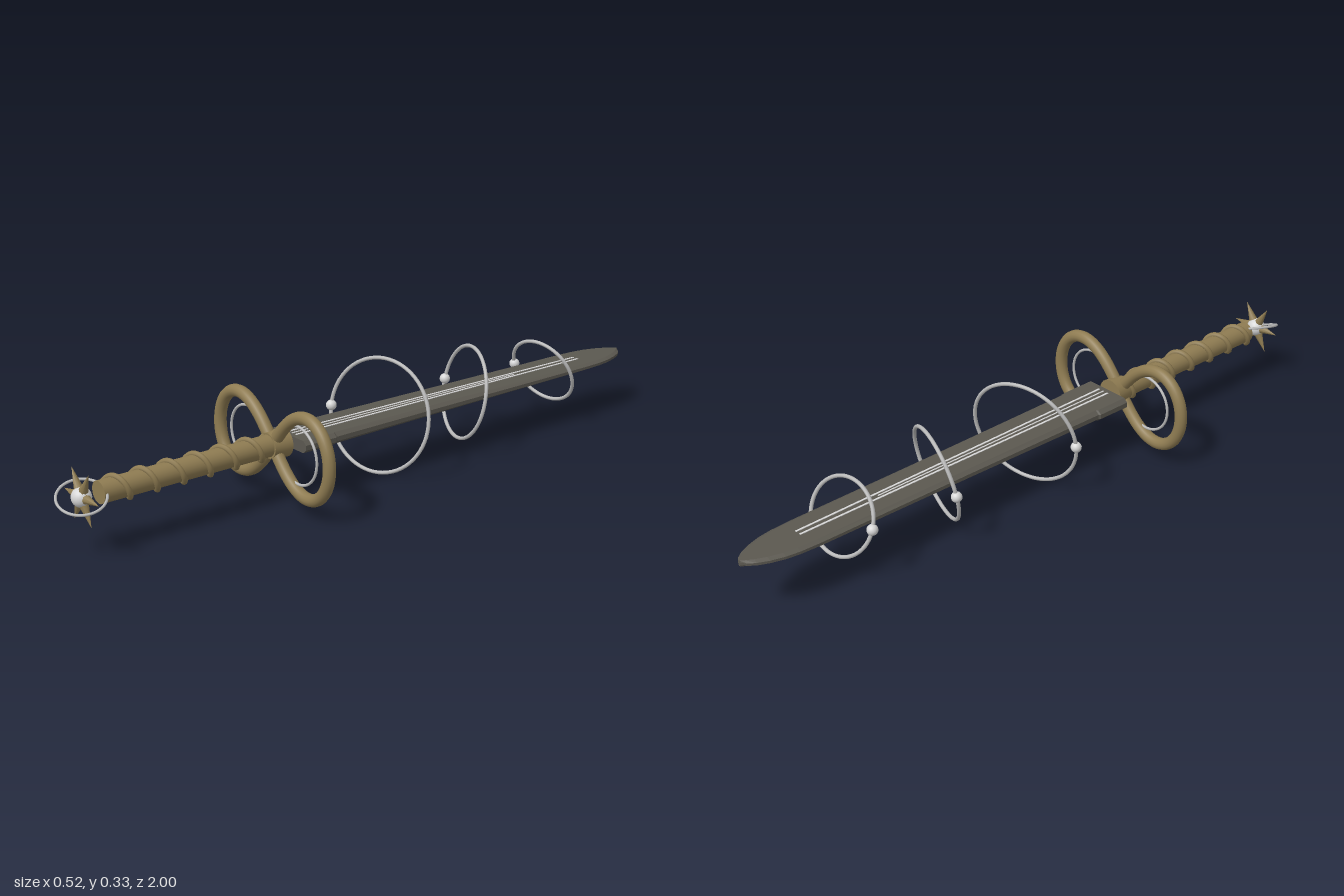
import * as THREE from 'three';

const AXIS = 0.167; // height of the sword's long axis

const mat = (name, color) => {
  const m = new THREE.MeshStandardMaterial({ color });
  m.name = name;
  return m;
};

// Flat-faced solid through bevelled cross-sections [z, centreX, halfWidth, halfThickness], front to back
function loft(stations, bevel) {
  const rings = stations.map(([z, x, w, t]) => {
    const b = Math.min(bevel, w * 0.5), e = t * 0.4;
    return [[w, -e], [w, e], [w - b, t], [b - w, t], [-w, e], [-w, -e], [b - w, -t], [w - b, -t]]
      .map(([px, py]) => [x + px, py, z]);
  });
  const pos = [];
  const tri = (a, b, c) => pos.push(...a, ...b, ...c);
  const n = 8, first = rings[0], last = rings[rings.length - 1];
  for (let i = 0; i < rings.length - 1; i++) {
    const p = rings[i], q = rings[i + 1];
    for (let j = 0; j < n; j++) {
      const k = (j + 1) % n;
      tri(p[j], q[j], p[k]);
      tri(p[k], q[j], q[k]);
    }
  }
  for (let j = 1; j < n - 1; j++) {
    tri(first[0], first[j], first[j + 1]);
    tri(last[0], last[j + 1], last[j]);
  }
  const g = new THREE.BufferGeometry();
  g.setAttribute('position', new THREE.Float32BufferAttribute(pos, 3));
  g.computeVertexNormals();
  return g;
}

// Figure-eight centreline of the guard
class FigureEight extends THREE.Curve {
  getPoint(u, target = new THREE.Vector3()) {
    const a = u * Math.PI * 2, s = Math.sin(a), c = Math.cos(a), d = 1 + s * s;
    return target.set(0.245 * c / d, 0.319 * s * c / d, 0);
  }
}

// Spiral binding around the grip
class Spiral extends THREE.Curve {
  getPoint(u, target = new THREE.Vector3()) {
    const z = 0.345 + 0.525 * u, a = (z - 0.399) / 0.083 * Math.PI * 2;
    return target.set(0.033 * Math.cos(a), 0.033 * Math.sin(a), z);
  }
}

export function createModel() {
  const steel = mat('darkSteel', 0x5b5850);
  const brass = mat('agedBrass', 0x8f7c52);
  const silver = mat('brightSilver', 0xd6d6d6);
  const wire = mat('ringSilver', 0xb8b8b8);

  const model = new THREE.Group();
  model.name = 'sword';
  const body = new THREE.Group();
  body.name = 'swordParts';
  body.position.y = AXIS;
  model.add(body);

  const add = (name, geometry, material, parent = body) => {
    const m = new THREE.Mesh(geometry, material);
    m.name = name;
    parent.add(m);
    return m;
  };

  // Blade with a rounded tip and a slightly wider base
  const thick = z => 0.0155 + 0.0045 * z / 0.4 * 0.6;
  const outline = [[0.285, 0.081], [0.18, 0.081], [0.175, 0.077], [-0.3, 0.072], [-0.8, 0.069], [-0.86, 0.066],
    [-0.9, 0.06], [-0.94, 0.048], [-0.97, 0.034], [-0.99, 0.019], [-1, 0.005]];
  add('blade', loft(outline.map(([z, w]) => [z, 0, w, thick(z)]), 0.012), steel);

  // Inlaid silver lines, showing on both faces
  const inlay = (name, x0, x1, end, w) => add(name, loft(
    [[0.27, x0, w, thick(0.27) + 0.0015], [end, x1, w, thick(end) + 0.0015]], 0.0005), silver);
  inlay('leftInlay', 0.017, 0.009, -0.82, 0.0035);
  inlay('rightInlay', -0.017, -0.009, -0.82, 0.0035);
  inlay('centreInlay', 0, 0, -0.56, 0.0025);

  // Tilted rings around the blade, each with a bead on its right
  [[-0.037, 0.163, -0.18, 0.3], [-0.36, 0.136, -0.2, -0.3], [-0.68, 0.106, 0.38, 0.17]].forEach(([z, r, rx, ry], i) => {
    const ring = new THREE.Group();
    ring.name = `bladeRing${i + 1}`;
    ring.position.z = z;
    ring.rotation.set(rx, ry, 0, 'YXZ');
    body.add(ring);
    add('hoop', new THREE.TorusGeometry(r, 0.0055, 10, 64), wire, ring);
    add('bead', new THREE.SphereGeometry(0.0155, 20, 14), silver, ring).position.x = -r;
  });

  // Guard: figure-eight loop with a thin ring in each half, and a collar
  add('guardLoop', new THREE.TubeGeometry(new FigureEight(), 160, 0.0178, 14, true), brass).position.z = 0.335;
  for (const side of [1, -1]) {
    add(side > 0 ? 'leftGuardRing' : 'rightGuardRing', new THREE.TorusGeometry(0.082, 0.004, 10, 56), wire)
      .position.set(side * 0.11, 0, 0.335);
  }
  const collar = add('collar', new THREE.CylinderGeometry(0.036, 0.042, 0.055, 24), brass);
  collar.rotation.x = Math.PI / 2;
  collar.position.z = 0.325;

  // Grip and its spiral binding
  const grip = add('grip', new THREE.CylinderGeometry(0.031, 0.031, 0.56, 24), brass);
  grip.rotation.x = Math.PI / 2;
  grip.position.z = 0.602;
  add('gripBinding', new THREE.TubeGeometry(new Spiral(), 220, 0.008, 8), brass);

  // Pommel: ball, six-pointed star and a tilted ring
  const pommel = new THREE.Group();
  pommel.name = 'pommel';
  pommel.position.z = 0.932;
  body.add(pommel);
  add('pommelBall', new THREE.SphereGeometry(0.027, 24, 16), silver, pommel);
  for (let i = 0; i < 6; i++) {
    const a = i * Math.PI / 3;
    const spike = add(`spike${i + 1}`, new THREE.ConeGeometry(0.014, 0.065, 8), brass, pommel);
    spike.position.set(0.0505 * Math.cos(a), 0.0505 * Math.sin(a), 0);
    spike.rotation.z = a - Math.PI / 2;
  }
  const halo = add('pommelRing', new THREE.TorusGeometry(0.0645, 0.0038, 8, 48), wire, pommel);
  halo.rotation.set(Math.PI / 2 + 0.2, -0.38, 0);
  halo.rotation.set(Math.PI / 2 + 0.2, 0, 0);
  const tilt = new THREE.Quaternion().setFromAxisAngle(new THREE.Vector3(0, 0, 1), -0.36);
  halo.quaternion.premultiply(tilt);

  return model;
}
